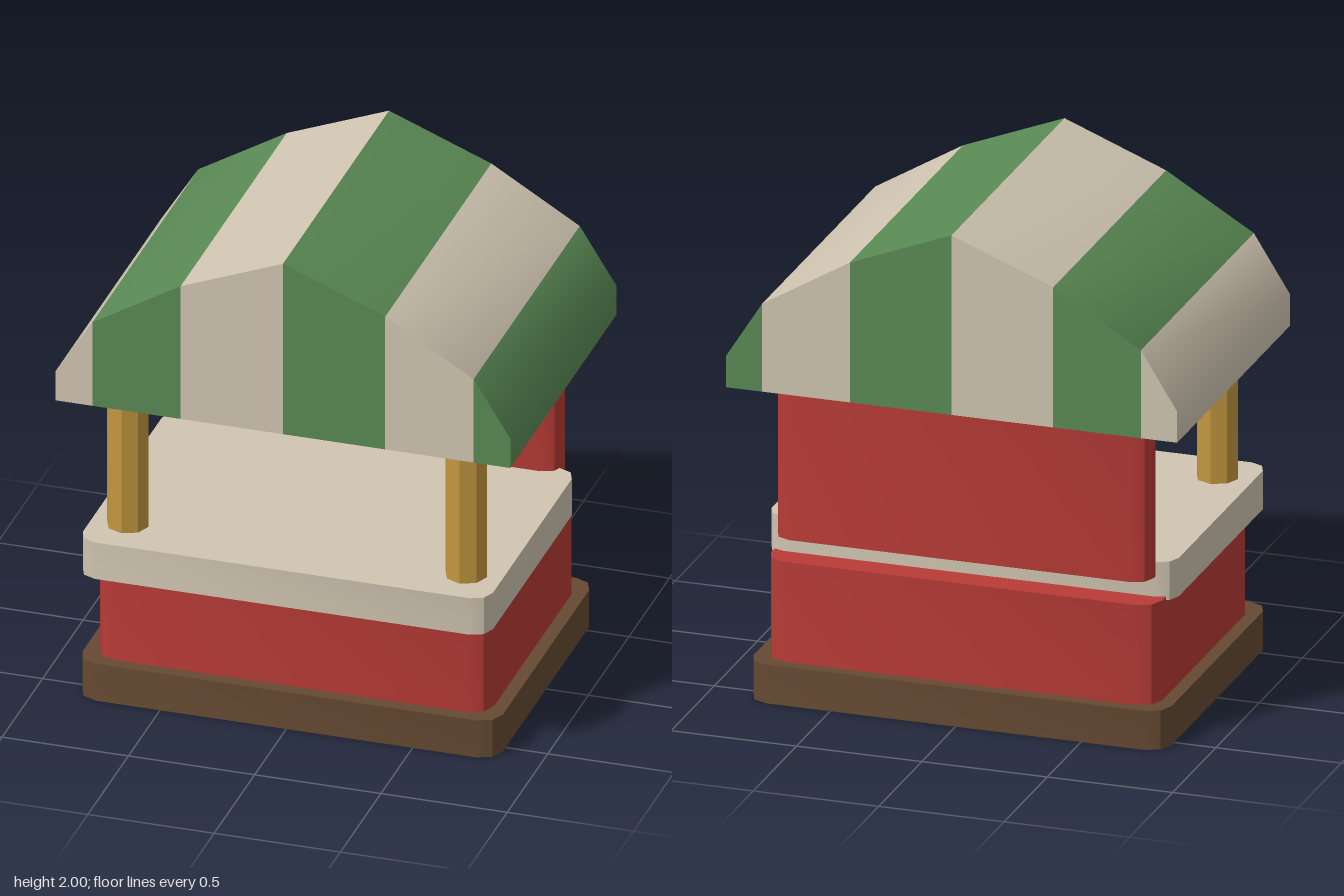
import * as THREE from 'three';
import { toCreasedNormals } from 'three/addons/utils/BufferGeometryUtils.js';

const CREASE = 0.65;

function material(name, color) {
  const m = new THREE.MeshStandardMaterial({ color });
  m.name = name;
  return m;
}

// Upright slab with rounded vertical corners, spanning y0..y1 and z0..z1
function roundedSlab(name, mat, halfWidth, y0, y1, z0, z1, r) {
  const w = halfWidth, d = (z1 - z0) / 2;
  const s = new THREE.Shape();
  s.absarc(w - r, d - r, r, 0, Math.PI / 2);
  s.absarc(-w + r, d - r, r, Math.PI / 2, Math.PI);
  s.absarc(-w + r, -d + r, r, Math.PI, Math.PI * 1.5);
  s.absarc(w - r, -d + r, r, Math.PI * 1.5, Math.PI * 2);
  s.closePath();
  const g = new THREE.ExtrudeGeometry(s, { depth: y1 - y0, bevelEnabled: false, curveSegments: 1 });
  g.clearGroups();
  g.rotateX(-Math.PI / 2);
  g.translate(0, y0, (z0 + z1) / 2);
  const mesh = new THREE.Mesh(toCreasedNormals(g, CREASE), mat);
  mesh.name = name;
  return mesh;
}

// Solid arched canopy whose colour changes at each profile point
function stripedRoof(cream, green) {
  const profile = [[-0.9, 1.4], [-0.755, 1.63], [-0.405, 1.84], [0, 2], [0.405, 1.84], [0.755, 1.63], [0.9, 1.4]];
  const base = 1.275, back = -0.657, front = 0.651;
  const pos = [];
  const g = new THREE.BufferGeometry();
  const quad = (a, b, c, d) => pos.push(...a, ...b, ...c, ...a, ...c, ...d);
  const last = profile.length - 2;
  for (let i = 0; i <= last; i++) {
    const [x0, y0] = profile[i], [x1, y1] = profile[i + 1];
    const start = pos.length / 3;
    quad([x0, y0, front], [x1, y1, front], [x1, y1, back], [x0, y0, back]);
    quad([x0, base, back], [x1, base, back], [x1, base, front], [x0, base, front]);
    quad([x0, base, front], [x1, base, front], [x1, y1, front], [x0, y0, front]);
    quad([x1, base, back], [x0, base, back], [x0, y0, back], [x1, y1, back]);
    // Vertical eaves
    if (i === 0) quad([x0, base, back], [x0, base, front], [x0, y0, front], [x0, y0, back]);
    if (i === last) quad([x1, base, front], [x1, base, back], [x1, y1, back], [x1, y1, front]);
    g.addGroup(start, pos.length / 3 - start, i % 2);
  }
  g.setAttribute('position', new THREE.Float32BufferAttribute(pos, 3));
  const mesh = new THREE.Mesh(toCreasedNormals(g, CREASE), [cream, green]);
  mesh.name = 'stripedRoof';
  return mesh;
}

export function createModel() {
  const cream = material('cream', 0xd0c5b1);
  const green = material('green', 0x5a8a55);
  const red = material('red', 0xb83b36);
  const wood = material('wood', 0xc2973f);
  const brown = material('brown', 0x664a32);

  const stall = new THREE.Group();
  stall.name = 'marketStall';
  stall.add(
    roundedSlab('base', brown, 0.833, 0, 0.157, -0.61, 0.61, 0.08),
    roundedSlab('body', red, 0.78, 0.15, 0.56, -0.56, 0.557, 0.08),
    roundedSlab('counter', cream, 0.812, 0.545, 0.7, -0.452, 0.66, 0.07),
    roundedSlab('backWall', red, 0.75, 0.65, 1.3, -0.56, -0.405, 0.07),
    stripedRoof(cream, green)
  );

  // Octagonal front posts
  for (const side of [-1, 1]) {
    const g = new THREE.CylinderGeometry(0.082, 0.082, 0.61, 8);
    const post = new THREE.Mesh(toCreasedNormals(g, CREASE), wood);
    post.name = side > 0 ? 'leftPost' : 'rightPost';
    post.position.set(side * 0.67, 0.99, 0.476);
    stall.add(post);
  }
  return stall;
}
